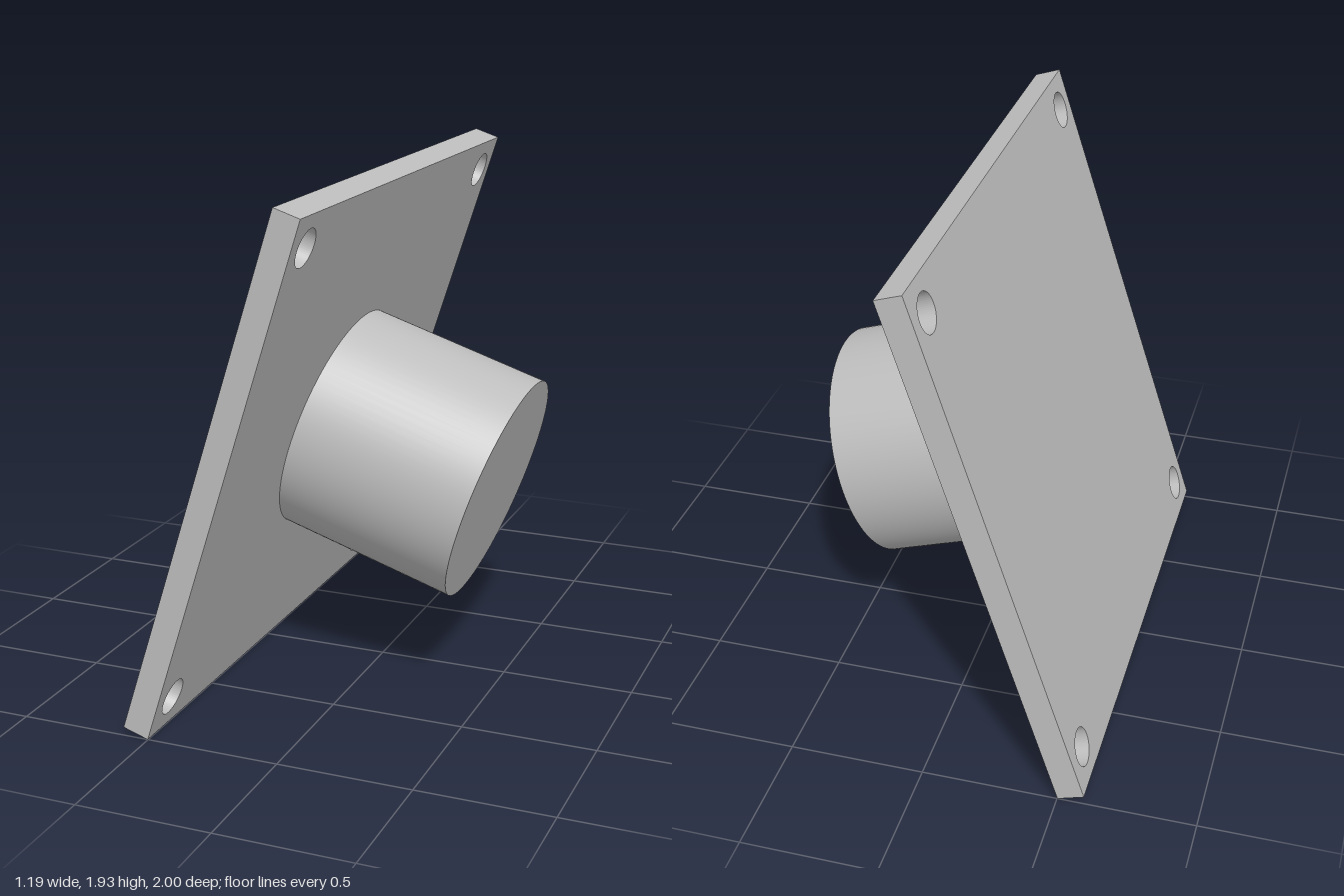
import * as THREE from 'three';

export function createModel() {
  const grey = new THREE.MeshStandardMaterial({ color: 0xbdbdbd });
  grey.name = 'light grey';

  const thickness = 0.1, radius = 0.4375, length = 0.6875, holeOffset = 0.876, holeRadius = 0.07;

  // Square plate with a round hole near each corner; its outer face lies at local x = 0
  const outline = new THREE.Shape([
    new THREE.Vector2(-1, -1), new THREE.Vector2(1, -1),
    new THREE.Vector2(1, 1), new THREE.Vector2(-1, 1),
  ]);
  for (const u of [-1, 1]) {
    for (const v of [-1, 1]) {
      const hole = new THREE.Path();
      hole.absarc(u * holeOffset, v * holeOffset, holeRadius, 0, Math.PI * 2, true);
      outline.holes.push(hole);
    }
  }
  const plateGeometry = new THREE.ExtrudeGeometry(outline, {
    depth: thickness, bevelEnabled: false, curveSegments: 32,
  });
  plateGeometry.translate(0, 0, -thickness).rotateY(Math.PI / 2);
  const plate = new THREE.Mesh(plateGeometry, grey);
  plate.name = 'mountingPlate';

  // Solid round boss standing on the middle of the plate
  const bossGeometry = new THREE.CylinderGeometry(radius, radius, length, 96);
  bossGeometry.rotateZ(-Math.PI / 2).translate(length / 2, 0, 0);
  const boss = new THREE.Mesh(bossGeometry, grey);
  boss.name = 'boss';

  // Whole part leans 18 degrees, resting on the plate's lower edge
  const bracket = new THREE.Group();
  bracket.name = 'flangedBoss';
  bracket.add(plate, boss);
  const tilt = THREE.MathUtils.degToRad(18);
  bracket.rotation.z = -tilt;
  bracket.position.set(-0.1925, Math.cos(tilt), 0);

  const model = new THREE.Group();
  model.name = 'model';
  model.add(bracket);
  return model;
}
